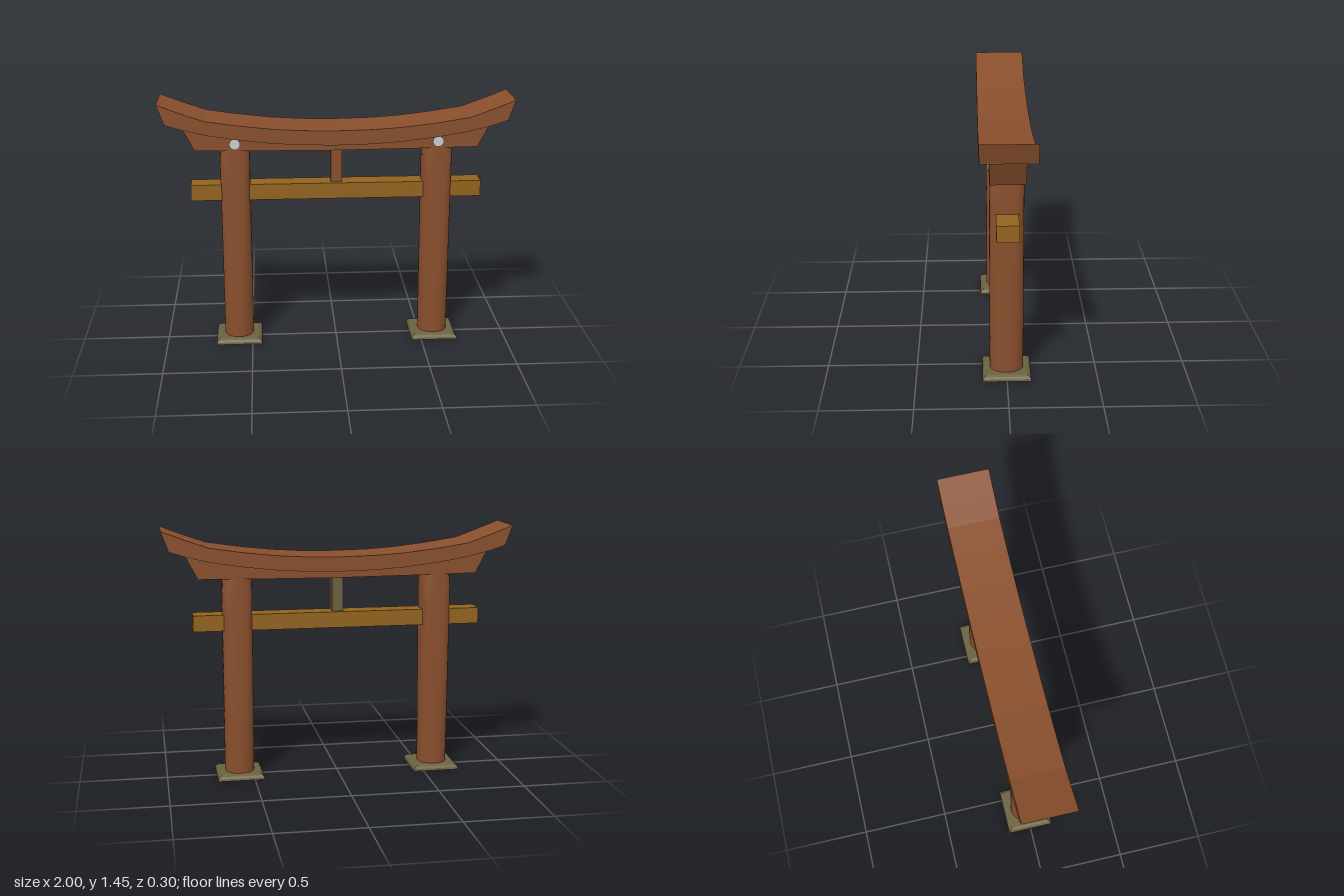
import * as THREE from 'three';
import { mergeVertices } from 'three/addons/utils/BufferGeometryUtils.js';

const paint = (color, flatShading = false) => new THREE.MeshStandardMaterial({ color, flatShading });
const brown = paint(0x894f2d);
const gold = paint(0x91631e);
const olive = paint(0x6b6140, true);
const grey = paint(0xcccccc);

const POST_X = 0.578;

// Half curves of the roof beam, from the middle outwards
const ROOF_TOP = [[0, 1.29], [0.2, 1.294], [0.37, 1.305], [0.56, 1.327], [0.74, 1.354], [0.87, 1.4], [1, 1.45]];
const ROOF_BOTTOM = [[0, 1.207], [0.2, 1.211], [0.37, 1.223], [0.56, 1.245], [0.74, 1.275], [0.87, 1.307], [0.96, 1.336]];

// Full mirrored line from a half curve, running left to right
const mirrored = half => [...half.slice(1).reverse().map(([x, y]) => [-x, y]), ...half];
const shifted = (half, dy) => half.map(([x, y]) => [x, y + dy]);

// Beam between a lower and an upper half curve, centred in z
function beam(lower, upper, depth) {
  const outline = [...mirrored(lower), ...mirrored(upper).reverse()];
  const shape = new THREE.Shape(outline.map(([x, y]) => new THREE.Vector2(x, y)));
  const geometry = new THREE.ExtrudeGeometry(shape, { depth, bevelEnabled: false });
  return geometry.translate(0, 0, -depth / 2);
}

// Post: round at the foot, squarer towards the head, round again at the very top
function postGeometry() {
  const bottom = 0.02, top = 1.2;
  let geometry = new THREE.CylinderGeometry(1, 1, top - bottom, 40, 12, true);
  geometry.translate(0, (top + bottom) / 2, 0);
  geometry.deleteAttribute('uv');
  geometry.deleteAttribute('normal');
  geometry = mergeVertices(geometry);
  const p = geometry.attributes.position;
  for (let i = 0; i < p.count; i++) {
    const x = p.getX(i), y = p.getY(i), z = p.getZ(i);
    const rise = y < 1.1 ? y / 1.1 : (top - y) / (top - 1.1);
    const n = 2 + 1.8 * Math.max(0, rise);
    const k = Math.pow(Math.pow(Math.abs(x), n) + Math.pow(Math.abs(z), n), -1 / n);
    p.setXYZ(i, x * k * 0.085, y, z * k * 0.093);
  }
  geometry.computeVertexNormals();
  return geometry;
}

// Square foot slab with softened upper edges
function footGeometry() {
  const profile = [[0, 0], [0.135, 0], [0.133, 0.012], [0.125, 0.024], [0.112, 0.031], [0, 0.031]];
  const points = profile.map(([r, y]) => new THREE.Vector2(r * Math.SQRT2, y));
  return new THREE.LatheGeometry(points, 4).rotateY(Math.PI / 4);
}

export function createModel() {
  const group = new THREE.Group();
  const add = (name, geometry, material, x = 0, y = 0, z = 0) => {
    const mesh = new THREE.Mesh(geometry, material);
    mesh.name = name;
    mesh.position.set(x, y, z);
    group.add(mesh);
    return mesh;
  };

  // Curved roof beam with a dark lining underneath
  add('roofBeam', beam(shifted(ROOF_BOTTOM, 0.004), ROOF_TOP, 0.296), brown);
  add('roofLining', beam(ROOF_BOTTOM, shifted(ROOF_BOTTOM, 0.004), 0.296), olive);

  // Lintel under the roof, following its curve with slanted ends
  add('lintel', beam([[0, 1.164], [0.4, 1.167], [0.8, 1.172]], shifted(ROOF_BOTTOM.slice(0, 6), 0.002), 0.188), brown);

  // Tie beam through the posts, and the short strut above it
  add('tieBeam', new THREE.BoxGeometry(1.664, 0.092, 0.12), gold, 0, 0.915, 0);
  add('strut', new THREE.BoxGeometry(0.064, 0.215, 0.066), [brown, brown, brown, brown, brown, olive], 0, 1.065, 0);

  // Posts, feet and the front studs
  const post = postGeometry();
  const foot = footGeometry();
  const stud = new THREE.CylinderGeometry(0.031, 0.031, 0.02, 24).rotateX(Math.PI / 2);
  for (const [side, s] of [['left', 1], ['right', -1]]) {
    add(side + 'Post', post, brown, s * POST_X);
    add(side + 'Foot', foot, olive, s * POST_X);
    add(side + 'Stud', stud, grey, s * 0.575, 1.208, 0.093);
  }
  return group;
}
